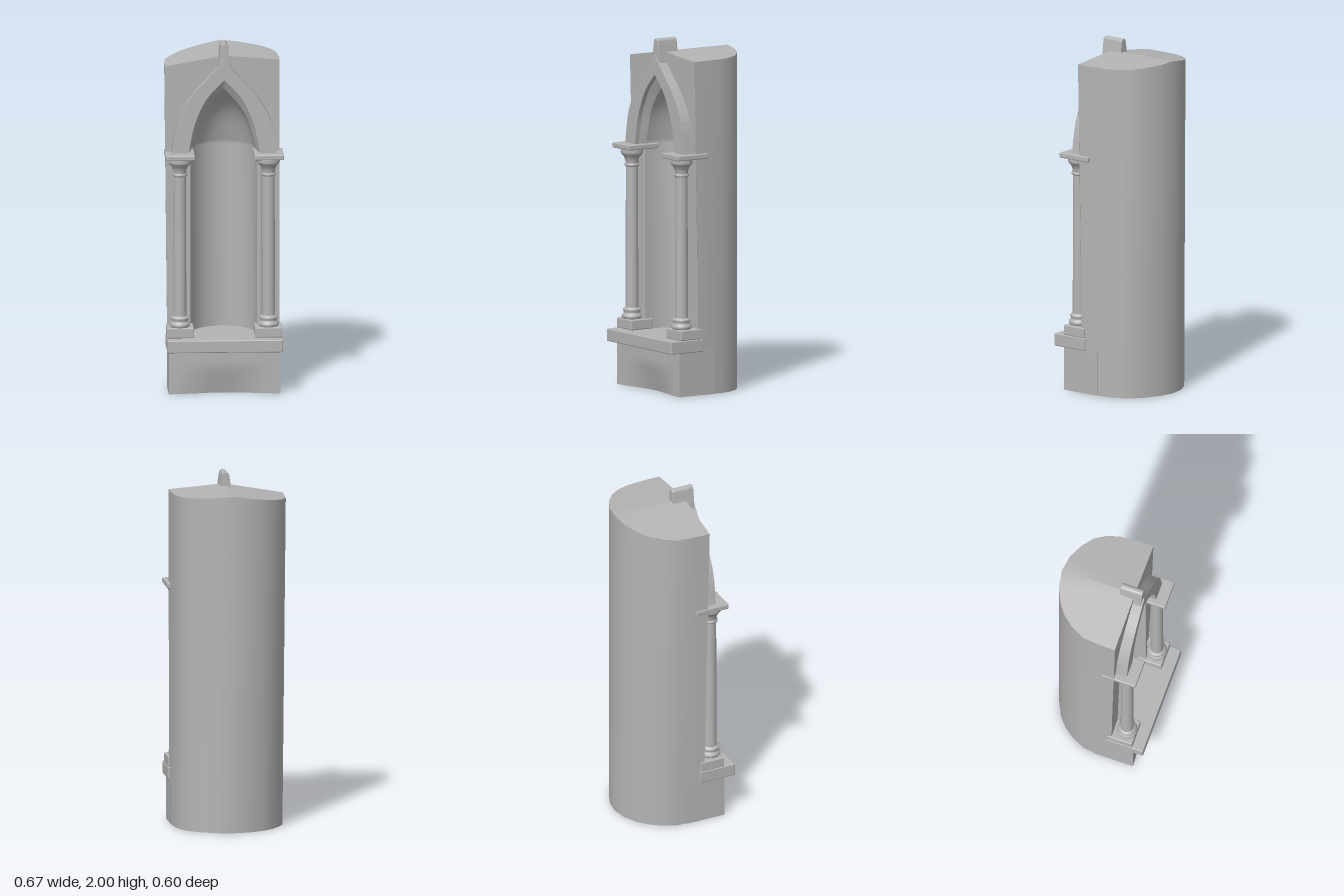
import * as THREE from 'three';
import { RoundedBoxGeometry } from 'three/addons/geometries/RoundedBoxGeometry.js';

const stone = new THREE.MeshStandardMaterial({ color: 0xb4b4b4, side: THREE.DoubleSide });
stone.name = 'grey stone';

const FLOOR = 0.32, SPRING = 1.375;
const frontZ = (y) => 0.105 + 0.02 * Math.max(0, y - 0.4);           // wall leans slightly forward
const topY = (x) => (x < 0 ? 1.925 + 0.18 * x : 1.925 - 0.08 * x);   // worn, uneven top
const leanX = (x, y) => (x < 0 ? x * (0.94 + 0.06 * y / 1.9) : x);

function add(group, name, geometry, x = 0, y = 0, z = 0) {
  const mesh = new THREE.Mesh(geometry, stone);
  mesh.name = name;
  mesh.position.set(x, y, z);
  group.add(mesh);
  return mesh;
}

// Slightly rounded block given by its limits
function block(group, name, x0, x1, y0, y1, z0, z1, r = 0.006) {
  add(group, name, new RoundedBoxGeometry(x1 - x0, y1 - y0, z1 - z0, 2, r),
    (x0 + x1) / 2, (y0 + y1) / 2, (z0 + z1) / 2);
}

// Skin between rows of points that have equal length
function loft(rows) {
  const n = rows[0].length, pos = rows.flat(2), index = [];
  for (let i = 0; i < rows.length - 1; i++) {
    for (let j = 0; j < n - 1; j++) {
      const a = i * n + j, b = a + 1, c = a + n, d = c + 1;
      index.push(a, b, d, a, d, c);
    }
  }
  const g = new THREE.BufferGeometry();
  g.setAttribute('position', new THREE.Float32BufferAttribute(pos, 3));
  g.setIndex(index);
  g.computeVertexNormals();
  return g;
}

// Pointed arch: right half from the spring to the apex, then the mirrored half
const half = (pts) => new THREE.SplineCurve(pts.map((p) => new THREE.Vector2(...p))).getPoints(16);
const mirrored = (pts) => [...pts, ...pts.slice(0, -1).reverse().map((p) => new THREE.Vector2(-p.x, p.y))];
const outerHalf = half([[0.297, SPRING], [0.262, 1.56], [0.18, 1.705], [0.085, 1.81], [0, 1.905]]);
const innerHalf = half([[0.2, SPRING], [0.168, 1.535], [0.1, 1.685], [0, 1.795]]);
const nicheHalf = half([[0.187, SPRING], [0.14, 1.54], [0.08, 1.648], [0, 1.735]]);

function buildBody(g) {
  // Plan of the shaft: rounded back, from left front corner to right front corner
  const plan = [[0.315, 0.13], [0.314, 0.05], [0.306, -0.06], [0.285, -0.132], [0.245, -0.195], [0.18, -0.245],
    [0.095, -0.285], [0, -0.3], [-0.095, -0.285], [-0.18, -0.245], [-0.238, -0.2], [-0.288, -0.135],
    [-0.325, -0.06], [-0.333, 0.05], [-0.335, 0.13]];
  const ring = (f) => plan.map(([x, z]) => {
    const y = f * topY(x);
    return [leanX(x, y), y, z > 0.1 ? frontZ(y) : z];
  });
  add(g, 'curvedWall', loft([ring(0), ring(0.5), ring(1)]));

  // Top and bottom caps as fans folded along the middle
  [['topCap', 1], ['bottomCap', 0]].forEach(([name, f]) => {
    const rim = ring(f), y = f * topY(0);
    add(g, name, loft([rim.map(() => [0, y, frontZ(y)]), rim]));
  });

  // Front wall pierced by the niche
  const wall = new THREE.Shape([[leanX(-0.335, 0.22), 0.22], [0.315, 0.22], [0.315, topY(0.315)],
    [0, topY(0)], [-0.335, topY(-0.335)]].map((p) => new THREE.Vector2(...p)));
  const arch = mirrored(nicheHalf);
  wall.holes.push(new THREE.Path([new THREE.Vector2(0.187, FLOOR), ...arch, new THREE.Vector2(-0.187, FLOOR)]));
  const face = new THREE.ShapeGeometry(wall), p = face.attributes.position;
  for (let i = 0; i < p.count; i++) p.setZ(i, frontZ(p.getY(i)));
  face.computeVertexNormals();
  add(g, 'frontWall', face);

  // Hollow of the niche, closing in a pointed half dome
  const section = (w, y) => Array.from({ length: 25 }, (_, i) => {
    const t = Math.PI * i / 24;
    return [w * Math.cos(t), y, frontZ(y) - 1.15 * w * Math.sin(t)];
  });
  add(g, 'nicheHollow', loft([section(0.187, FLOOR), ...nicheHalf.map((q) => section(q.x, q.y))]));
  const floorRim = section(0.187, FLOOR);
  add(g, 'nicheFloor', loft([floorRim.map(() => [0, FLOOR, frontZ(FLOOR)]), floorRim]));
}

function buildBase(g) {
  // Base block with a worn hollow low on its front
  const base = new THREE.BoxGeometry(0.63, 0.25, 0.235, 16, 8, 1), p = base.attributes.position;
  for (let i = 0; i < p.count; i++) {
    if (p.getZ(i) > 0) {
      const low = Math.max(0, 1 - (p.getY(i) + 0.125) / 0.16);
      p.setZ(i, p.getZ(i) - 0.04 * low * Math.cos(p.getX(i) / 0.63 * Math.PI) ** 2);
    }
  }
  base.computeVertexNormals();
  add(g, 'baseBlock', base, 0, 0.125, 0.1175);
  block(g, 'ledge', -0.326, 0.326, 0.248, FLOOR, 0.08, 0.298);
}

function buildArch(g) {
  const shape = new THREE.Shape([...mirrored(outerHalf), ...mirrored(innerHalf).reverse()]);
  add(g, 'pointedArch', new THREE.ExtrudeGeometry(shape, { depth: 0.08, bevelEnabled: false }), 0, 0, 0.112);

  // Splayed moulding inside the arch
  const row = (pts, z) => mirrored(pts).map((q) => [q.x, q.y, z ?? frontZ(q.y)]);
  add(g, 'archMoulding', loft([row(innerHalf, 0.165), row(nicheHalf)]));

  // Tapered finial standing on the apex
  const finial = new THREE.Shape();
  finial.moveTo(-0.036, 1.865);
  finial.lineTo(0, 1.9);
  finial.lineTo(0.036, 1.865);
  finial.lineTo(0.018, 1.985);
  finial.quadraticCurveTo(0.014, 1.998, 0, 1.998);
  finial.quadraticCurveTo(-0.014, 1.998, -0.018, 1.985);
  add(g, 'finial', new THREE.ExtrudeGeometry(finial, {
    depth: 0.122, bevelThickness: 0.004, bevelSize: 0.002, bevelSegments: 1, curveSegments: 6,
  }), 0, 0, 0.059);
}

function buildColumn(side) {
  const g = new THREE.Group();
  g.name = side > 0 ? 'leftColumn' : 'rightColumn';
  const span = (a, b) => (side > 0 ? [a, b] : [-b, -a]);
  block(g, 'plinth', ...span(0.172, 0.325), FLOOR, 0.378, 0.085, 0.232);
  block(g, 'abacus', ...span(0.167, 0.333), 1.345, SPRING, 0.052, 0.256);
  block(g, 'jambStrip', ...span(0.187, 0.212), FLOOR, 1.35, 0.085, 0.135, 0.005);

  // Turned base, shaft, neck ring and capital
  const parts = {
    columnBase: [[0.05, 0.376], [0.058, 0.385], [0.058, 0.398], [0.048, 0.407], [0.045, 0.415],
      [0.051, 0.424], [0.051, 0.434], [0.037, 0.442]],
    shaft: [[0.037, 0.435], [0.034, 1.26]],
    neckRing: [[0.034, 1.243], [0.042, 1.247], [0.042, 1.257], [0.036, 1.262]],
    capital: [[0.036, 1.26], [0.038, 1.28], [0.046, 1.3], [0.06, 1.315], [0.064, 1.325], [0.062, 1.347]],
  };
  for (const [name, pts] of Object.entries(parts)) {
    add(g, name, new THREE.LatheGeometry(pts.map((q) => new THREE.Vector2(...q)), 24), side * 0.25, 0, 0.178);
  }
  return g;
}

export function createModel() {
  const model = new THREE.Group();
  model.name = 'niche';
  buildBody(model);
  buildBase(model);
  buildArch(model);
  for (const side of [-1, 1]) model.add(buildColumn(side));
  return model;
}
